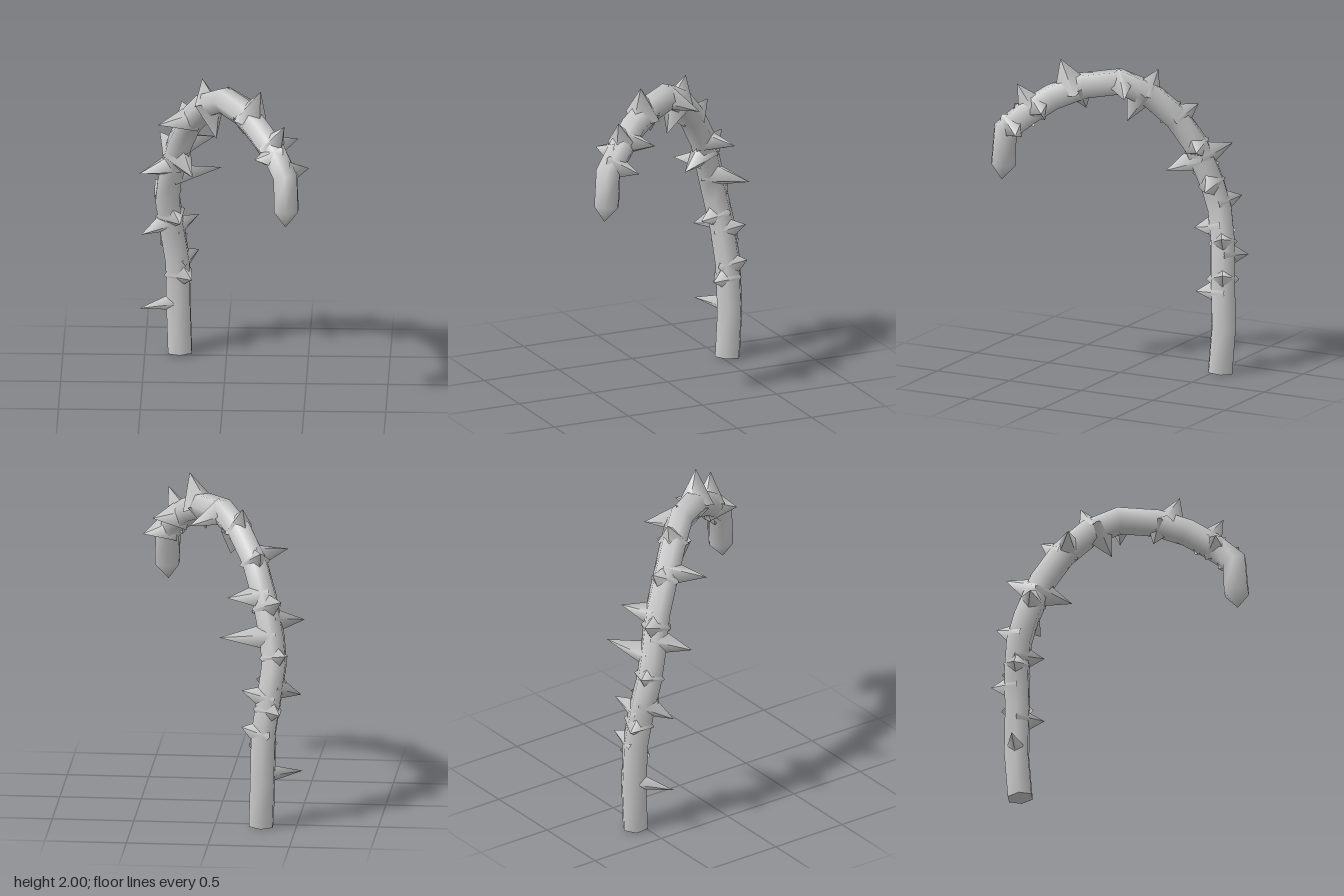
import * as THREE from 'three';

const v = (p) => new THREE.Vector3(...p);

// Centre line of the vine, from the root over the arch to the drooping end
const path = [
  [-0.285, 0.01, -0.54], [-0.295, 0.3, -0.56], [-0.3, 0.6, -0.55], [-0.335, 0.83, -0.53],
  [-0.36, 1.02, -0.495], [-0.345, 1.17, -0.455], [-0.285, 1.42, -0.375], [-0.22, 1.6, -0.27],
  [-0.12, 1.75, -0.14], [0.0, 1.84, 0.0], [0.13, 1.82, 0.19], [0.23, 1.75, 0.35],
  [0.32, 1.66, 0.47], [0.39, 1.55, 0.585], [0.395, 1.34, 0.597],
].map(v);
const tip = v([0.39, 1.235, 0.61]);
const across = v([0.87, 0, -0.5]).normalize();
const sides = 6;
const radius = 0.084;

const tangentAt = (i) => {
  const last = path.length - 1;
  return path[Math.min(i + 1, last)].clone().sub(path[Math.max(i - 1, 0)]).normalize();
};

// Six-sided stem lofted along the centre line, closed by a point at the end
function stemGeometry() {
  const pos = [];
  const index = [];
  path.forEach((c, i) => {
    const t = tangentAt(i);
    const b = across.clone().addScaledVector(t, -across.dot(t)).normalize();
    const n = t.clone().cross(b);
    for (let j = 0; j < sides; j++) {
      const a = (j / sides) * Math.PI * 2;
      const p = c.clone().addScaledVector(b, radius * Math.cos(a)).addScaledVector(n, radius * Math.sin(a));
      pos.push(p.x, p.y, p.z);
    }
  });
  pos.push(tip.x, tip.y, tip.z);
  const end = path.length * sides;
  for (let i = 0; i < path.length; i++) {
    for (let j = 0; j < sides; j++) {
      const a = i * sides + j;
      const b = i * sides + (j + 1) % sides;
      if (i === path.length - 1) index.push(a, b, end);
      else index.push(a, b, b + sides, a, b + sides, a + sides);
    }
  }
  // Root cap, with its own corners so the edge stays sharp
  const cap = pos.length / 3;
  pos.push(...pos.slice(0, sides * 3));
  for (let j = 1; j < sides - 1; j++) index.push(cap, cap + j + 1, cap + j);
  const g = new THREE.BufferGeometry();
  g.setAttribute('position', new THREE.Float32BufferAttribute(pos, 3));
  g.setIndex(index);
  g.computeVertexNormals();
  return g;
}

// Nearest point on the centre line and the direction of the line there
function nearest(p) {
  let best = { d: Infinity };
  for (let i = 0; i < path.length - 1; i++) {
    const q = new THREE.Line3(path[i], path[i + 1]).closestPointToPoint(p, true, new THREE.Vector3());
    const d = q.distanceTo(p);
    if (d < best.d) best = { d, point: q, dir: path[i + 1].clone().sub(path[i]).normalize() };
  }
  return best;
}

// Thorns: tip position, base radius, shift of the base along the stem
const thorns = [
  [[-0.53, 0.33, -0.43], 0.065, 0],
  [[-0.21, 0.52, -0.41], 0.1, 0],
  [[-0.17, 0.65, -0.62], 0.1, -0.03],
  [[-0.41, 0.74, -0.67], 0.1, 0],
  [[-0.52, 0.81, -0.42], 0.09, 0.03],
  [[-0.17, 0.88, -0.61], 0.09, -0.03],
  [[-0.28, 0.9, -0.36], 0.1, 0],
  [[-0.44, 1.1, -0.61], 0.1, 0],
  [[-0.03, 1.2, -0.57], 0.09, -0.05],
  [[-0.53, 1.25, -0.29], 0.09, 0.03],
  [[-0.2, 1.26, -0.21], 0.1, 0],
  [[-0.07, 1.43, -0.49], 0.09, -0.02],
  [[-0.41, 1.43, -0.56], 0.1, 0],
  [[-0.41, 1.64, -0.09], 0.09, 0],
  [[-0.27, 1.69, -0.4], 0.1, 0],
  [[-0.05, 1.58, -0.02], 0.11, 0],
  [[-0.14, 1.91, -0.19], 0.1, 0],
  [[0.19, 1.78, -0.13], 0.09, 0],
  [[0.12, 1.68, 0.17], 0.1, 0],
  [[0.23, 2.0, 0.29], 0.12, 0],
  [[0.38, 1.85, 0.51], 0.1, 0],
  [[0.46, 1.7, 0.3], 0.1, 0],
  [[0.2, 1.66, 0.58], 0.1, 0],
  [[0.53, 1.56, 0.44], 0.1, 0],
];

// Four-sided spike from the middle of the stem out to its tip
function makeThorn([tipPos, r, shift], material) {
  const end = v(tipPos);
  const { point, dir } = nearest(end);
  const base = point.addScaledVector(dir, shift);
  const axis = end.clone().sub(base);
  const length = axis.length();
  axis.normalize();
  const x = dir.clone().addScaledVector(axis, -dir.dot(axis)).normalize();
  const z = x.clone().cross(axis);
  const g = new THREE.ConeGeometry(r, length, 4, 1, true).translate(0, length / 2, 0);
  g.applyMatrix4(new THREE.Matrix4().makeBasis(x, axis, z).setPosition(base));
  const mesh = new THREE.Mesh(g, material);
  mesh.name = 'thorn';
  return mesh;
}

export function createModel() {
  const material = new THREE.MeshStandardMaterial({ color: 0xcccccc, side: THREE.DoubleSide });
  const model = new THREE.Group();
  model.name = 'thornyVine';
  const stem = new THREE.Mesh(stemGeometry(), material);
  stem.name = 'stem';
  const spikes = new THREE.Group();
  spikes.name = 'thorns';
  thorns.forEach((t) => spikes.add(makeThorn(t, material)));
  model.add(stem, spikes);
  return model;
}
